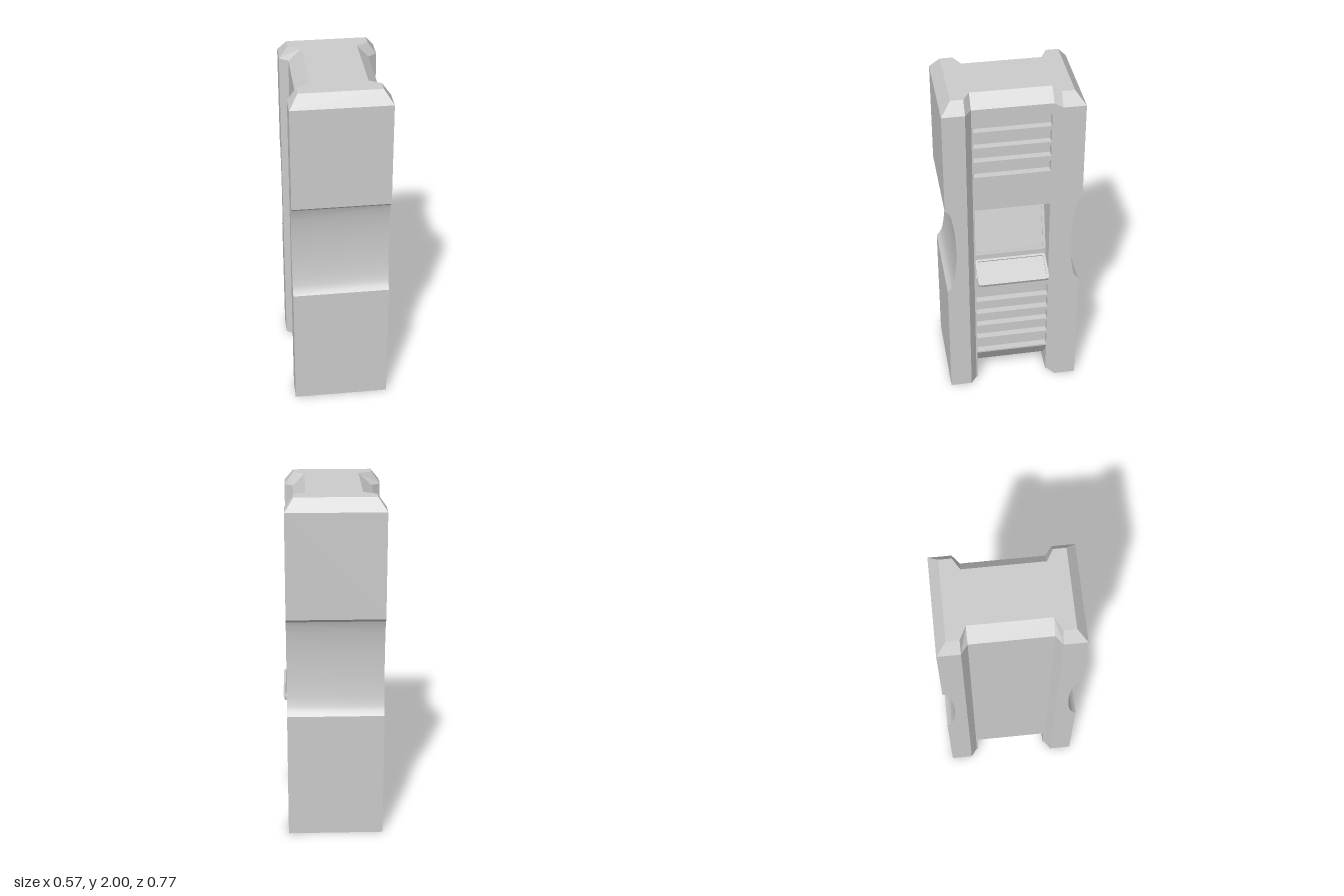
import * as THREE from 'three';
import { toCreasedNormals } from 'three/addons/utils/BufferGeometryUtils.js';

const grey = new THREE.MeshStandardMaterial({ color: 0xcccccc });

function add(parent, name, geometry) {
  const mesh = new THREE.Mesh(geometry, grey);
  mesh.name = name;
  parent.add(mesh);
  return mesh;
}

// Closed solid from cross-section rings, each counter-clockwise seen from the last ring's end
function loft(rings, crease) {
  const pos = [], n = rings[0].length;
  const tri = (a, b, c) => pos.push(...a, ...b, ...c);
  for (let r = 0; r < rings.length - 1; r++) {
    for (let i = 0; i < n; i++) {
      const j = (i + 1) % n, A = rings[r], B = rings[r + 1];
      tri(A[i], A[j], B[j]);
      tri(A[i], B[j], B[i]);
    }
  }
  const first = rings[0], last = rings[rings.length - 1];
  for (let i = 1; i < n - 1; i++) {
    tri(first[0], first[i + 1], first[i]);
    tri(last[0], last[i], last[i + 1]);
  }
  const g = new THREE.BufferGeometry();
  g.setAttribute('position', new THREE.Float32BufferAttribute(pos, 3));
  g.computeVertexNormals();
  return toCreasedNormals(g, crease);
}

function roundedRect(w, h, r, Type = THREE.Shape) {
  const s = new Type(), x = w / 2, y = h / 2;
  s.moveTo(-x + r, -y);
  s.lineTo(x - r, -y).quadraticCurveTo(x, -y, x, -y + r);
  s.lineTo(x, y - r).quadraticCurveTo(x, y, x - r, y);
  s.lineTo(-x + r, y).quadraticCurveTo(-x, y, -x, y - r);
  s.lineTo(-x, -y + r).quadraticCurveTo(-x, -y, -x + r, -y);
  return s;
}

// Plate with a raised rim, facing +x and leaning back by tilt
function framedPanel(name, w, h, x, y, tilt) {
  const g = new THREE.Group();
  g.name = name;
  const base = new THREE.ExtrudeGeometry(roundedRect(w, h, 0.02),
    { depth: 0.014, bevelEnabled: false, curveSegments: 5 });
  add(g, name + 'Base', base).position.z = -0.022;
  const rimShape = roundedRect(w, h, 0.02);
  rimShape.holes.push(roundedRect(w - 0.026, h - 0.026, 0.014, THREE.Path));
  const rim = new THREE.ExtrudeGeometry(rimShape,
    { depth: 0.008, bevelEnabled: false, curveSegments: 5 });
  add(g, name + 'Rim', rim).position.z = -0.008;
  g.rotation.set(-tilt, Math.PI / 2, 0, 'YXZ');
  g.position.set(x, y, 0);
  return g;
}

// End slab with chamfered top and a shallow hollow in its outer face
function endSlab() {
  const profile = [
    [0, 0.385], [0.75, 0.385], [0.772, 0.366], [0.8, 0.353], [0.85, 0.342], [0.91, 0.334],
    [0.97, 0.33], [1.04, 0.328], [1.11, 0.33], [1.17, 0.334], [1.23, 0.342], [1.28, 0.351],
    [1.31, 0.362], [1.33, 0.385], [1.93, 0.385], [2, 0.33]];
  const rings = profile.map(([y, z]) => {
    const inset = y === 2 ? 0.05 : 0, l = -0.285 + inset, r = 0.265 - inset;
    return [[l, y, z], [r, y, z], [r, y, 0.26], [l, y, 0.26]];
  });
  return loft(rings, 0.5);
}

// Bevelled transition between the web and an end slab
function flare() {
  const outline = (l, r, topL, topR, z) =>
    [[l, 0, z], [r, 0, z], [r, 1.93, z], [topR, 2, z], [topL, 2, z], [l, 1.93, z]];
  return loft([
    outline(-0.235, 0.215, -0.16, 0.15, 0.213),
    outline(-0.235, 0.215, -0.16, 0.15, 0.222),
    outline(-0.285, 0.265, -0.235, 0.215, 0.26)], 0.3);
}

// Web with vent grooves and a niche cut into its +x face
function web() {
  const x = 0.215, depth = 0.04;
  const grooves = (list) => list.flatMap(([lo, hi]) =>
    [[x, lo], [x - depth, lo], [x - depth, hi], [x, hi]]);
  const points = [
    [-0.16, 0.08], [0.14, 0.08], [x, 0.2],
    ...grooves([[0.21, 0.3], [0.32, 0.4], [0.42, 0.49], [0.515, 0.59], [0.61, 0.69]]),
    [x, 0.795], [0.125, 0.835], [0.125, 0.89], [0.015, 1.28], [x, 1.28],
    ...grooves([[1.5, 1.57], [1.6, 1.67], [1.69, 1.765], [1.79, 1.865]]),
    [x, 1.93], [0.15, 2], [-0.16, 2], [-0.235, 1.93], [-0.235, 0.2]];
  const shape = new THREE.Shape(points.map(([a, b]) => new THREE.Vector2(a, b)));
  return new THREE.ExtrudeGeometry(shape, { depth: 0.426, bevelEnabled: false })
    .translate(0, 0, -0.213);
}

// Mirror a geometry across z = 0, keeping faces outward
function mirrorZ(geometry) {
  const g = geometry.clone();
  for (const key of ['position', 'normal']) {
    const a = g.attributes[key], src = geometry.attributes[key];
    for (let i = 0; i < a.count; i++) {
      const k = i - (i % 3) + 2 - (i % 3);
      a.setXYZ(i, src.getX(k), src.getY(k), -src.getZ(k));
    }
  }
  return g;
}

export function createModel() {
  const model = new THREE.Group();
  model.name = 'ventedBlock';
  add(model, 'web', web());
  const slab = endSlab(), bevel = flare();
  add(model, 'frontSlab', slab);
  add(model, 'backSlab', mirrorZ(slab));
  add(model, 'frontFlare', bevel);
  add(model, 'backFlare', mirrorZ(bevel));
  // Sloping screen in the niche, and the tilted shelf below it
  model.add(framedPanel('screen', 0.415, 0.286, 0.1, 1.038, 0.283));
  model.add(framedPanel('shelf', 0.415, 0.166, 0.21, 0.828, 1.13));
  return model;
}
